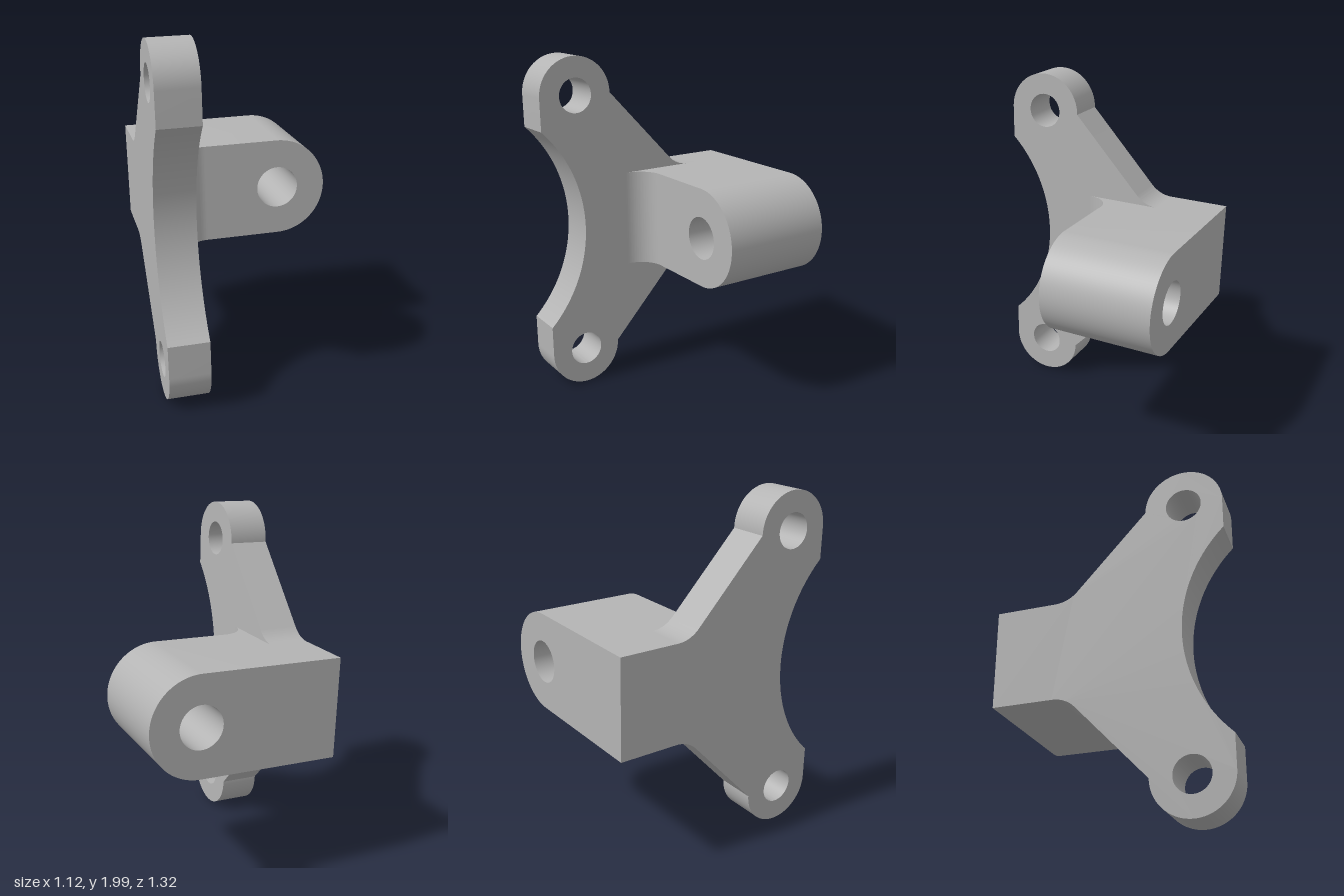
import * as THREE from 'three';
import { toCreasedNormals } from 'three/addons/utils/BufferGeometryUtils.js';

const metal = new THREE.MeshStandardMaterial({ color: 0xb4b4b4 });
metal.name = 'plain grey';

// Straight extrusion with smooth curves and sharp edges
function extrude(shape, depth) {
  return new THREE.ExtrudeGeometry(shape, { depth, bevelEnabled: false, curveSegments: 32 });
}

function part(name, geometry) {
  const mesh = new THREE.Mesh(toCreasedNormals(geometry, 0.5), metal);
  mesh.name = name;
  return mesh;
}

function hole(x, y, r) {
  return new THREE.Path().absarc(x, y, r, 0, Math.PI * 2, true);
}

const PLATE_IN = -0.307, PLATE_DEPTH = 0.23; // plate faces along x
const BACK = -0.66, ARM_FRONT = -0.017;      // arm faces along z
const ARM_R = 0.287, ARM_X = 0.27;
const LUG_Z = 0.44, LUG_Y = 0.775, LUG_R = 0.22;

// Side plate: two lugs, concave front edge, sloped flanks; drawn as (z, y)
function sidePlate() {
  const s = new THREE.Shape();
  const arcZ = 1.23, arcR = 0.82;
  const a = Math.atan2(0.588, LUG_Z + LUG_R - arcZ);
  s.moveTo(BACK, -ARM_R);
  s.lineTo(-0.315, -ARM_R);
  s.quadraticCurveTo(-0.235, -ARM_R, -0.18, -0.346);
  s.lineTo(LUG_Z - LUG_R, -LUG_Y);
  s.absarc(LUG_Z, -LUG_Y, LUG_R, Math.PI, Math.PI * 2, false);
  s.lineTo(LUG_Z + LUG_R, -0.588);
  s.absarc(arcZ, 0, arcR, Math.PI * 2 - a, a, true);
  s.lineTo(LUG_Z + LUG_R, LUG_Y);
  s.absarc(LUG_Z, LUG_Y, LUG_R, 0, Math.PI, false);
  s.lineTo(-0.18, 0.346);
  s.quadraticCurveTo(-0.235, ARM_R, -0.315, ARM_R);
  s.lineTo(BACK, ARM_R);
  s.closePath();
  for (const side of [-1, 1]) s.holes.push(hole(LUG_Z, side * LUG_Y, 0.1));
  const g = extrude(s, PLATE_DEPTH);
  g.rotateY(-Math.PI / 2).translate(PLATE_IN, 0, 0);
  return part('sidePlate', g);
}

// Thick arm with a rounded end and a through bore
function boredArm() {
  const s = new THREE.Shape();
  s.moveTo(PLATE_IN, -ARM_R);
  s.lineTo(ARM_X, -ARM_R);
  s.absarc(ARM_X, 0, ARM_R, -Math.PI / 2, Math.PI / 2, false);
  s.lineTo(PLATE_IN, ARM_R);
  s.closePath();
  s.holes.push(hole(ARM_X, 0, 0.123));
  return part('boredArm', extrude(s, ARM_FRONT - BACK).translate(0, 0, BACK));
}

// Concave fillet between the arm and the plate; drawn as (x, -z)
function cornerFillet() {
  const r = 0.145, y = -ARM_FRONT;
  const s = new THREE.Shape();
  s.moveTo(PLATE_IN, y);
  s.lineTo(PLATE_IN, y - r);
  s.absarc(PLATE_IN + r, y - r, r, Math.PI, Math.PI / 2, true);
  s.closePath();
  const g = extrude(s, ARM_R * 2);
  g.rotateX(-Math.PI / 2).translate(0, -ARM_R, 0);
  return part('cornerFillet', g);
}

export function createModel() {
  const bracket = new THREE.Group();
  bracket.name = 'bracket';
  bracket.add(sidePlate(), boredArm(), cornerFillet());
  // The whole bracket leans slightly
  bracket.rotation.z = 0.0226;
  bracket.position.y = 1.013;
  const model = new THREE.Group();
  model.name = 'mountingBracket';
  model.add(bracket);
  return model;
}
